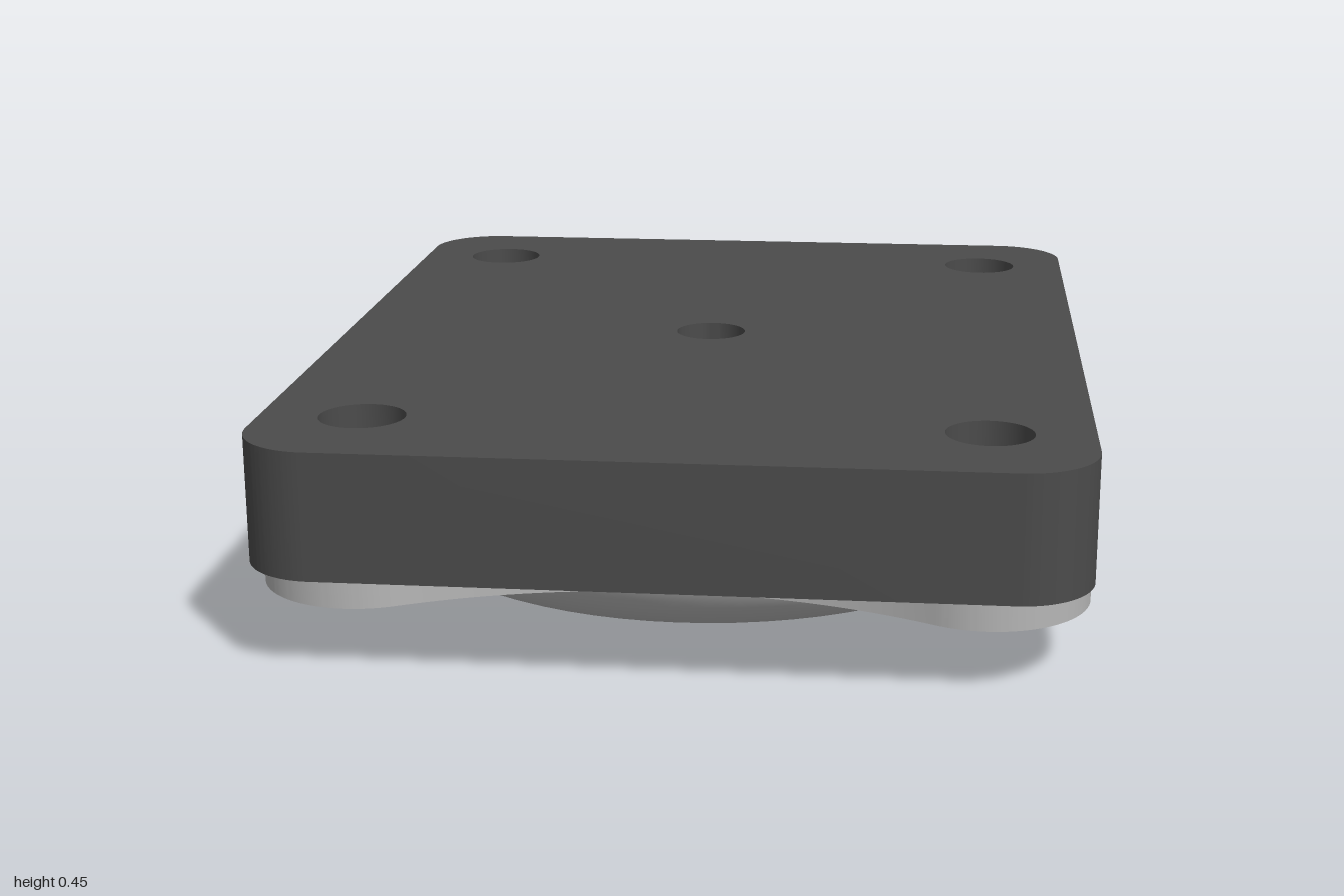
import * as THREE from 'three';
import { toCreasedNormals } from 'three/addons/utils/BufferGeometryUtils.js';

const HOLE_X = 0.6, HOLE_Z = 0.75, BOLT_R = 0.085, BORE_R = 0.075;

// Bolt holes at the four corners and one bore in the centre
function addHoles(shape) {
  const hole = (x, y, r) => shape.holes.push(new THREE.Path().absarc(x, y, r, 0, Math.PI * 2, true));
  for (const sx of [-1, 1]) for (const sz of [-1, 1]) hole(sx * HOLE_X, sz * HOLE_Z, BOLT_R);
  hole(0, 0, BORE_R);
  return shape;
}

// Lays a plan outline flat and raises it from y0 to y1
function slab(shape, y0, y1) {
  const geo = new THREE.ExtrudeGeometry(addHoles(shape), { depth: y1 - y0, bevelEnabled: false, curveSegments: 24 });
  geo.rotateX(-Math.PI / 2).translate(0, y0, 0);
  return toCreasedNormals(geo, 0.6);
}

// Rounded rectangle
function blockOutline(hx, hz, r) {
  const s = new THREE.Shape(), q = Math.PI / 2;
  s.absarc(hx - r, hz - r, r, 0, q, false);
  s.absarc(-hx + r, hz - r, r, q, 2 * q, false);
  s.absarc(-hx + r, -hz + r, r, 2 * q, 3 * q, false);
  s.absarc(hx - r, -hz + r, r, 3 * q, 4 * q, false);
  s.closePath();
  return s;
}

// Straight sides, round corners about the bolts, and a tangent concave arc at each end
function flangeOutline(r, waist) {
  const s = new THREE.Shape(), PI = Math.PI;
  const gap = waist - r;
  const c = (HOLE_X ** 2 + HOLE_Z ** 2 - gap ** 2) / (2 * (HOLE_Z - gap));
  const a = Math.atan2(c - HOLE_Z, -HOLE_X); // tangent direction at the right-hand bolt
  s.absarc(HOLE_X, HOLE_Z, r, 0, a, false);
  s.absarc(0, c, c - waist, a - PI, -a, true);
  s.absarc(-HOLE_X, HOLE_Z, r, PI - a, PI, false);
  s.absarc(-HOLE_X, -HOLE_Z, r, PI, PI + a, false);
  s.absarc(0, -c, c - waist, a, PI - a, true);
  s.absarc(HOLE_X, -HOLE_Z, r, -a, 0, false);
  s.closePath();
  return s;
}

// Shallow round dish with a flat underside, rounded edge and central bore
function dishGeometry() {
  const pts = [new THREE.Vector2(BORE_R, 0.13), new THREE.Vector2(BORE_R, 0)];
  const end = Math.acos(0.07 / 0.2);
  for (let i = 0; i <= 12; i++) {
    const t = (end * i) / 12;
    pts.push(new THREE.Vector2(0.587 + 0.2 * Math.sin(t), 0.2 - 0.2 * Math.cos(t)));
  }
  return toCreasedNormals(new THREE.LatheGeometry(pts, 72), 0.6);
}

export function createModel() {
  const darkGrey = new THREE.MeshStandardMaterial({ color: 0x4b4b4b });
  darkGrey.name = 'darkGrey';
  const lightGrey = new THREE.MeshStandardMaterial({ color: 0xb6b6b6 });
  lightGrey.name = 'lightGrey';

  const group = new THREE.Group();
  group.name = 'mountingPad';
  const add = (name, geo, mat) => {
    const mesh = new THREE.Mesh(geo, mat);
    mesh.name = name;
    group.add(mesh);
  };

  add('topBlock', slab(blockOutline(0.8, 1, 0.15), 0.2, 0.45), darkGrey);
  add('flange', slab(flangeOutline(0.2, 0.8), 0.13, 0.2), lightGrey);
  add('dish', dishGeometry(), lightGrey);
  return group;
}
